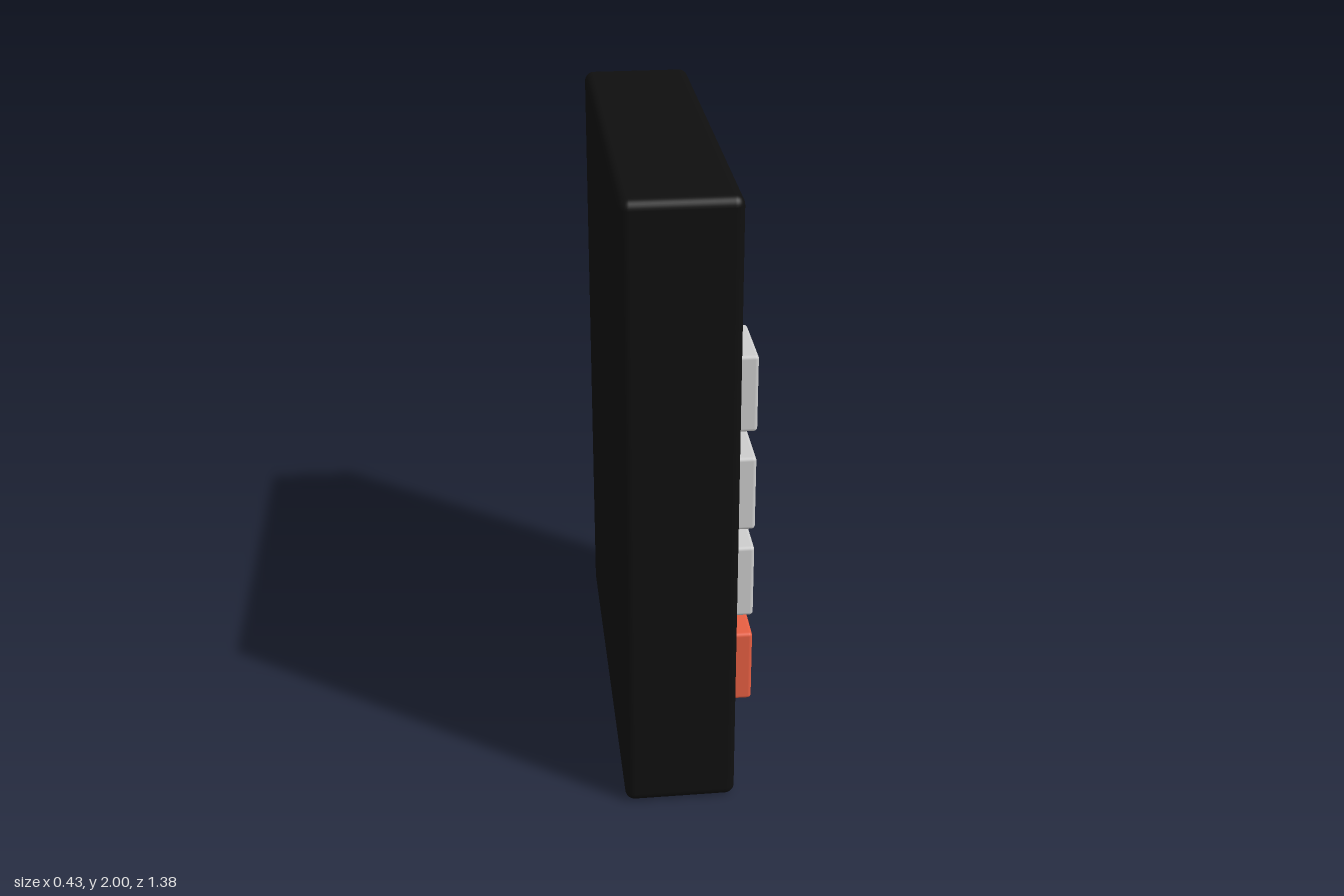
import * as THREE from 'three';
import { RoundedBoxGeometry } from 'three/addons/geometries/RoundedBoxGeometry.js';

const BACK = -0.215, FACE = 0.133, KEY_TOP = 0.215; // x levels
const SCREEN_X = 0.0;                               // bottom of the screen recess
const HEIGHT = 2, WIDTH = 1.385, RADIUS = 0.03;
const SCREEN = { y0: 1.674, y1: 1.888, z0: -0.486, z1: 0.482 };

const paint = (color) => new THREE.MeshStandardMaterial({ color });

function part(name, geometry, material, x = 0, y = 0, z = 0) {
  const mesh = new THREE.Mesh(geometry, material);
  mesh.name = name;
  mesh.position.set(x, y, z);
  return mesh;
}

// Rounded case without its flat +x face, which the front panel replaces
function openCase() {
  const depth = FACE - BACK;
  const box = new RoundedBoxGeometry(depth, HEIGHT, WIDTH, 4, RADIUS);
  const src = box.index ? box.toNonIndexed() : box;
  const p = src.attributes.position, n = src.attributes.normal;
  const pos = [], nor = [];
  for (let i = 0; i < p.count; i += 3) {
    const flat = [0, 1, 2].every((k) => p.getX(i + k) > depth / 2 - 1e-4);
    if (flat) continue;
    for (let k = i; k < i + 3; k++) {
      pos.push(p.getX(k), p.getY(k), p.getZ(k));
      nor.push(n.getX(k), n.getY(k), n.getZ(k));
    }
  }
  const geo = new THREE.BufferGeometry();
  geo.setAttribute('position', new THREE.Float32BufferAttribute(pos, 3));
  geo.setAttribute('normal', new THREE.Float32BufferAttribute(nor, 3));
  return geo;
}

// Panel with a rectangular window, thick enough to form the recess walls
function frontPanel() {
  const rect = (path, a0, b0, a1, b1) =>
    path.moveTo(a0, b0).lineTo(a1, b0).lineTo(a1, b1).lineTo(a0, b1).closePath();
  const w = WIDTH / 2 - RADIUS;
  const shape = new THREE.Shape();
  rect(shape, -w, RADIUS, w, HEIGHT - RADIUS);
  const hole = new THREE.Path();
  rect(hole, -SCREEN.z1, SCREEN.y0, -SCREEN.z0, SCREEN.y1);
  shape.holes.push(hole);
  return new THREE.ExtrudeGeometry(shape, { depth: FACE - SCREEN_X, bevelEnabled: false })
    .rotateY(Math.PI / 2);
}

export function createModel() {
  const model = new THREE.Group();
  model.name = 'keypad';

  const black = paint(0x0f0f0f);
  model.add(part('case', openCase(), black, (BACK + FACE) / 2, HEIGHT / 2, 0));
  model.add(part('frontPanel', frontPanel(), black, SCREEN_X, 0, 0));

  // Sunken display
  const screen = new THREE.PlaneGeometry(SCREEN.z1 - SCREEN.z0, SCREEN.y1 - SCREEN.y0)
    .rotateY(Math.PI / 2);
  model.add(part('screen', screen, paint(0x32e6ce), SCREEN_X + 0.002,
    (SCREEN.y0 + SCREEN.y1) / 2, (SCREEN.z0 + SCREEN.z1) / 2));

  // Keys: four rows of three, with a red and a green key in the bottom row
  const keys = new THREE.Group();
  keys.name = 'keys';
  const size = 0.25, thick = 0.11;
  const keyGeo = new RoundedBoxGeometry(thick, size, size, 3, 0.012);
  const grey = paint(0xcccccc), red = paint(0xe55e42), green = paint(0x8ee56b);
  const rows = [1.308, 0.97, 0.657, 0.339], columns = [0.347, -0.019, -0.35];
  rows.forEach((y, r) => columns.forEach((z, c) => {
    const last = r === 3;
    const isRed = last && c === 0, isGreen = last && c === 2;
    const name = isRed ? 'redKey' : isGreen ? 'greenKey' : `key${r * 3 + c + 1}`;
    keys.add(part(name, keyGeo, isRed ? red : isGreen ? green : grey,
      KEY_TOP - thick / 2, isGreen ? y - 0.004 : y, z));
  }));
  model.add(keys);
  return model;
}
